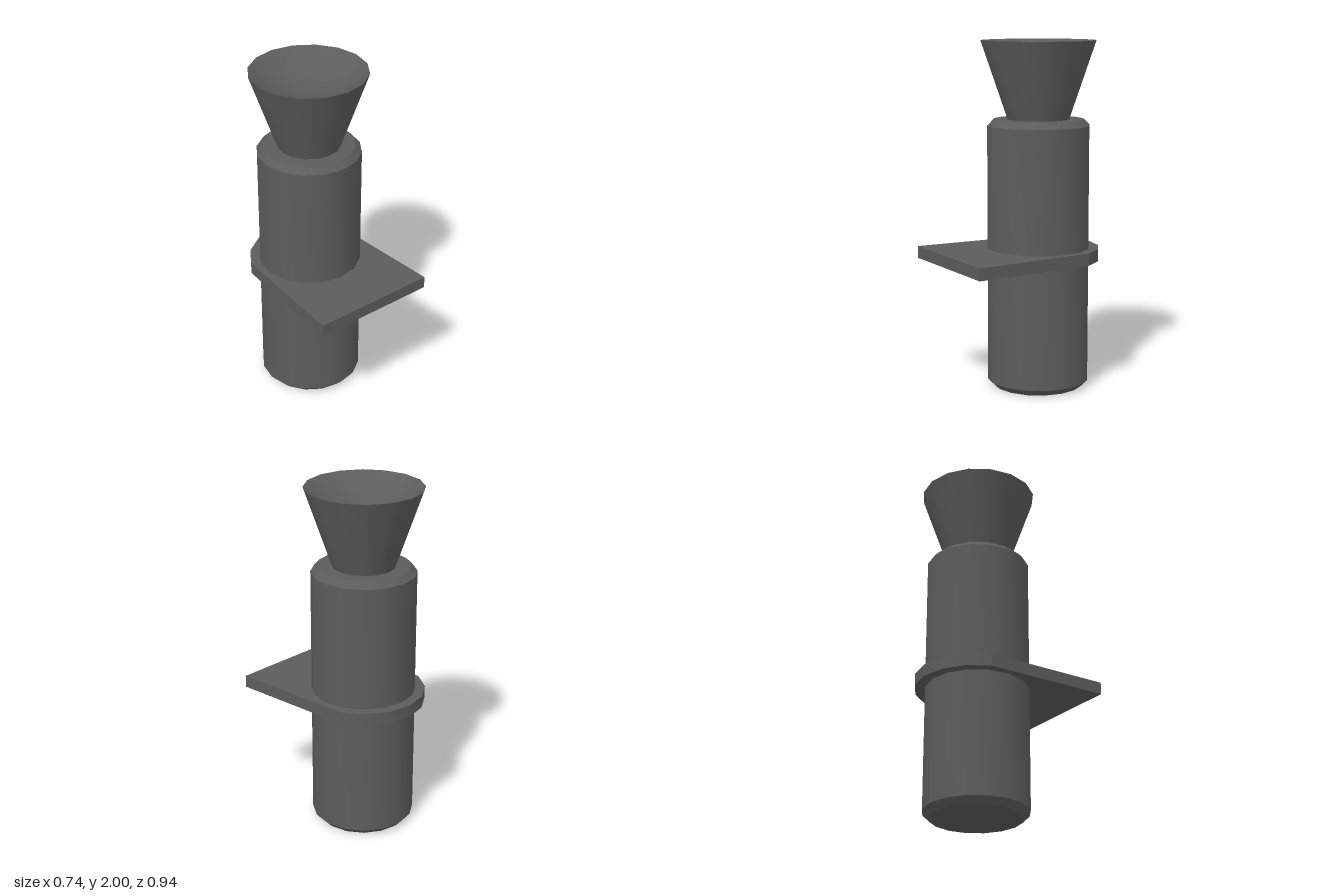
import * as THREE from 'three';
import { toCreasedNormals } from 'three/addons/utils/BufferGeometryUtils.js';

const SIDES = 16;
const AXIS_Z = -0.12; // the column stands behind the centre
const CREASE = Math.PI / 6;

export function createModel() {
  const group = new THREE.Group();
  const darkGrey = new THREE.MeshStandardMaterial({ color: 0x5c5c5c });
  darkGrey.name = 'dark grey';

  function add(name, geometry, z = 0) {
    const mesh = new THREE.Mesh(toCreasedNormals(geometry, CREASE), darkGrey);
    mesh.name = name;
    mesh.position.z = z;
    group.add(mesh);
  }

  function lathe(points) {
    return new THREE.LatheGeometry(points.map(([r, y]) => new THREE.Vector2(r, y)), SIDES);
  }

  // Column with chamfered ends
  add('body', lathe([
    [0, 0], [0.26, 0], [0.295, 0.036], [0.295, 1.52], [0.26, 1.555], [0, 1.555],
  ]), AXIS_Z);

  // Flared cup with a shallow bowl in its top
  const rim = 0.331, depth = 0.11, steps = 6;
  const radius = (rim * rim + depth * depth) / (2 * depth);
  const cup = [[0, 1.55], [0.176, 1.55], [rim, 2]];
  const rimAngle = Math.asin(rim / radius);
  for (let i = steps - 1; i >= 0; i--) {
    const a = rimAngle * i / steps;
    cup.push([radius * Math.sin(a), 2 - depth + radius * (1 - Math.cos(a))]);
  }
  add('flaredCup', lathe(cup), AXIS_Z);

  // Plate around the column: straight front edge, rounded back
  const outline = new THREE.Shape();
  outline.moveTo(-0.37, -0.472);
  outline.lineTo(0.37, -0.472);
  for (let i = 1; i < 8; i++) {
    const a = i * Math.PI / 8;
    outline.lineTo(0.352 * Math.cos(a), -AXIS_Z + 0.352 * Math.sin(a));
  }
  outline.closePath();
  const plate = new THREE.ExtrudeGeometry(outline, { depth: 0.07, bevelEnabled: false });
  plate.rotateX(-Math.PI / 2).translate(0, 0.745, 0);
  add('plate', plate);

  return group;
}
